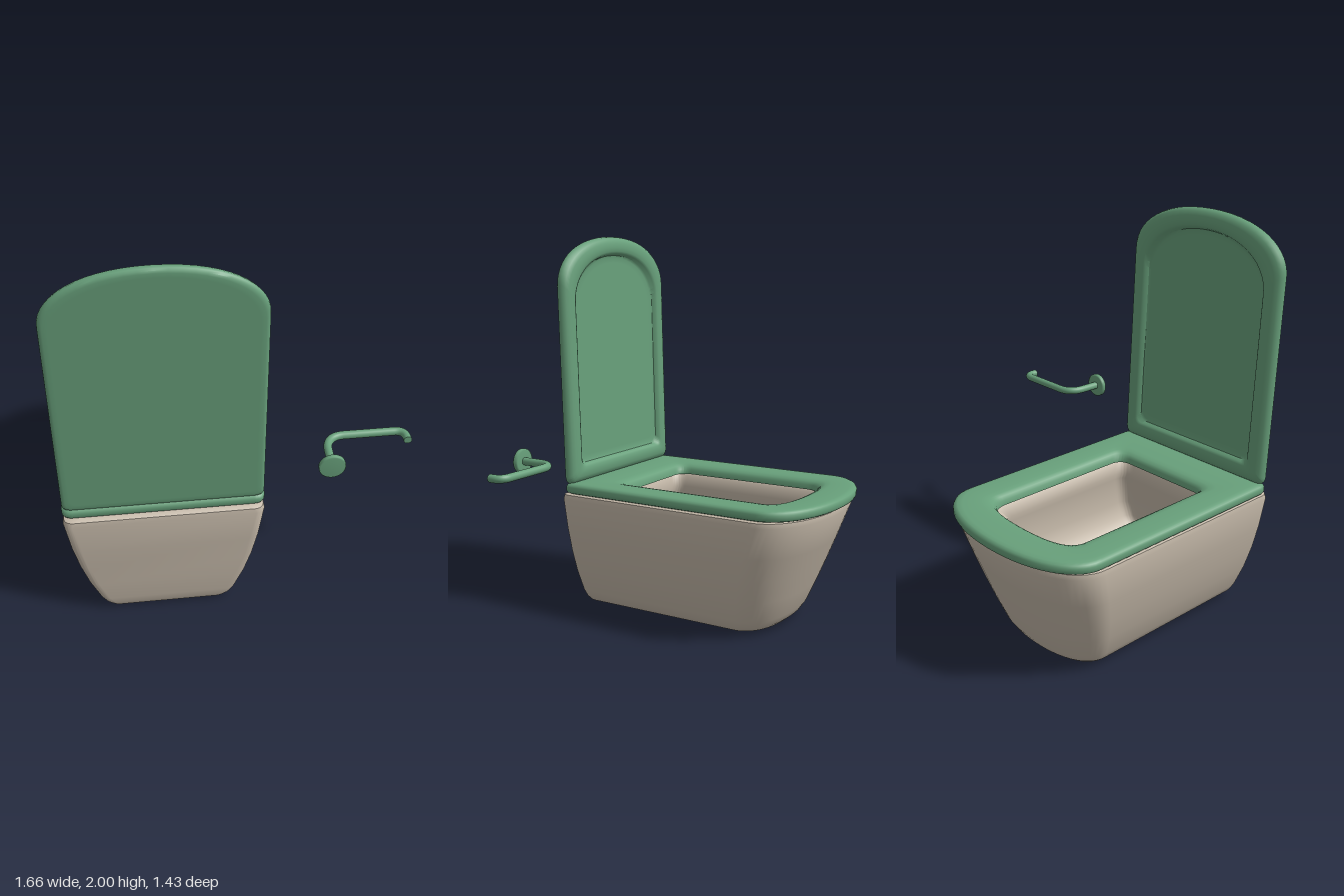
import * as THREE from 'three';
import { toCreasedNormals } from 'three/addons/utils/BufferGeometryUtils.js';

const CX = -0.355; // centre line of the bowl, seat and lid

// Plan outline: square end at zb with corner radius r, bowed end at zf that starts d away.
// k sets how full the bowed corners are.
function outline(w, zb, zf, r, d, k) {
  const s = new THREE.Shape();
  s.moveTo(-w + r, zb);
  s.lineTo(w - r, zb);
  s.quadraticCurveTo(w, zb, w, zb - r);
  s.lineTo(w, zf + d);
  s.bezierCurveTo(w, zf + 0.45 * d, k * w, zf, 0, zf);
  s.bezierCurveTo(-k * w, zf, -w, zf + 0.45 * d, -w, zf + d);
  s.lineTo(-w, zb - r);
  s.quadraticCurveTo(-w, zb, -w + r, zb);
  const pts = s.getPoints(14);
  if (pts[0].distanceTo(pts[pts.length - 1]) < 1e-6) pts.pop();
  return pts;
}

// Skin over rows of [y, w, zb, zf, r, d, k], optionally closed with a fan at each end
function loft(rows, capped) {
  const pos = [], idx = [];
  const rings = rows.map(([y, ...o]) => outline(...o).map((p) => [p.x, y, p.y]));
  const n = rings[0].length;
  rings.forEach((ring) => ring.forEach((p) => pos.push(...p)));
  for (let i = 0; i < rings.length - 1; i++) {
    for (let j = 0; j < n; j++) {
      const a = i * n + j, b = i * n + (j + 1) % n;
      idx.push(a, b, b + n, a, b + n, a + n);
    }
  }
  if (capped) {
    [0, rings.length - 1].forEach((i, end) => {
      const c = pos.length / 3;
      pos.push(0, rows[i][0], (rows[i][2] + rows[i][3]) / 2);
      for (let j = 0; j < n; j++) {
        const a = i * n + j, b = i * n + (j + 1) % n;
        if (end) idx.push(c, a, b); else idx.push(c, b, a);
      }
    });
  }
  const g = new THREE.BufferGeometry();
  g.setAttribute('position', new THREE.Float32BufferAttribute(pos, 3));
  g.setIndex(idx);
  return toCreasedNormals(g, 0.75);
}

export function createModel() {
  const root = new THREE.Group();
  const green = new THREE.MeshStandardMaterial({ color: 0x68a07b });
  green.name = 'green';
  const beige = new THREE.MeshStandardMaterial({ color: 0xc6baaa });
  beige.name = 'beige';
  const add = (name, geo, mat, parent = root) => {
    const m = new THREE.Mesh(geo, mat);
    m.name = name;
    parent.add(m);
    return m;
  };

  // Bowl: rows of height, half width, wall end and bowed end.
  // The outer wall rises to the rim; its corners get fuller towards the foot.
  const wall = [
    [0, 0.25, 0.645, -0.35],
    [0.015, 0.29, 0.667, -0.41],
    [0.04, 0.315, 0.676, -0.44],
    [0.08, 0.338, 0.682, -0.467],
    [0.2, 0.385, 0.69, -0.52],
    [0.32, 0.42, 0.695, -0.57],
    [0.45, 0.448, 0.7, -0.622],
    [0.62, 0.473, 0.705, -0.688],
    [0.645, 0.468, 0.7, -0.685],
    [0.655, 0.445, 0.68, -0.665],
  ].map(([y, w, zb, zf]) => [y, w, zb, zf, 0.05, 0.54 * w, 0.82 - 0.42 * w]);

  // The basin drops from the rim, under a small lip, to the drain
  const basin = [
    [0.655, 0.31, 0.46, -0.53],
    [0.64, 0.295, 0.45, -0.505],
    [0.58, 0.284, 0.44, -0.455],
    [0.55, 0.291, 0.446, -0.472],
    [0.4, 0.295, 0.47, -0.42],
    [0.32, 0.275, 0.48, -0.34],
    [0.27, 0.24, 0.48, -0.24],
    [0.24, 0.18, 0.48, 0.05],
    [0.22, 0.138, 0.475, 0.185],
    [0.2, 0.125, 0.47, 0.208],
    [0.08, 0.115, 0.46, 0.225],
  ].map((row) => [...row, 0.07, 0.115, 0.83]);
  add('bowl', loft([...wall, ...basin], true), beige).position.x = CX;

  // Seat: closed ring with rounded outer edge and a rolled inner edge
  const outer = (y, e) => [y, 0.475 - e, 0.683 - e, -0.715 + e, 0.05, 0.25, 0.62];
  const inner = (y, e) => [y, 0.287 + e, 0.415 + e, -0.505 - e, 0.07, 0.13, 0.85];
  add('seat', loft([
    inner(0.654, 0), outer(0.654, 0.015), outer(0.66, 0.004), outer(0.67, 0),
    outer(0.69, 0), outer(0.701, 0.005), outer(0.708, 0.016), outer(0.71, 0.035),
    inner(0.71, 0.06), inner(0.706, 0.035), inner(0.697, 0.014), inner(0.68, 0.002),
    inner(0.654, 0),
  ], false), green).position.x = CX;

  // Lid: raised plate with a recessed panel on the side facing the bowl
  const edge = (t, e) => [t, 0.47 - e, -e, -1.3 + e, 0.04, 0.25, 0.62];
  const lid = add('lid', loft([
    edge(0.03, 0.14), edge(0.03, 0.115), edge(0.026, 0.102), edge(0.008, 0.092),
    edge(0.002, 0.08), edge(0, 0.06), edge(0.002, 0.035), edge(0.01, 0.016),
    edge(0.024, 0.004), edge(0.04, 0), edge(0.052, 0.002), edge(0.06, 0.009),
    edge(0.063, 0.02), edge(0.063, 0.04),
  ], true), green);
  lid.position.set(CX, 0.702, 0.616);
  lid.rotation.x = Math.PI / 2 + 0.028;

  // Paper holder: wall disc and a bent bar
  const holder = new THREE.Group();
  holder.name = 'paperHolder';
  holder.position.set(0.42, 0.88, 0);
  root.add(holder);

  const profile = [[0, 0], [0.055, 0], [0.063, 0.005], [0.063, 0.022], [0.058, 0.027], [0, 0.027]];
  const disc = add('wallDisc', new THREE.LatheGeometry(
    profile.map(([x, y]) => new THREE.Vector2(x, y)), 40), green, holder);
  disc.rotation.x = Math.PI / 2;
  disc.position.z = 0.686;

  const v = (x, z) => new THREE.Vector3(x, 0, z);
  const path = new THREE.CurvePath();
  path.add(new THREE.LineCurve3(v(0, 0.69), v(0.003, 0.59)));
  path.add(new THREE.CubicBezierCurve3(v(0.003, 0.59), v(0.005, 0.53), v(0.035, 0.495), v(0.095, 0.495)));
  path.add(new THREE.LineCurve3(v(0.095, 0.495), v(0.34, 0.495)));
  path.add(new THREE.CubicBezierCurve3(v(0.34, 0.495), v(0.372, 0.495), v(0.39, 0.513), v(0.39, 0.545)));
  path.add(new THREE.LineCurve3(v(0.39, 0.545), v(0.39, 0.565)));
  add('bar', new THREE.TubeGeometry(path, 80, 0.02, 20), green, holder);
  add('barEnd', new THREE.CircleGeometry(0.02, 20), green, holder).position.set(0.39, 0, 0.565);

  return root;
}
